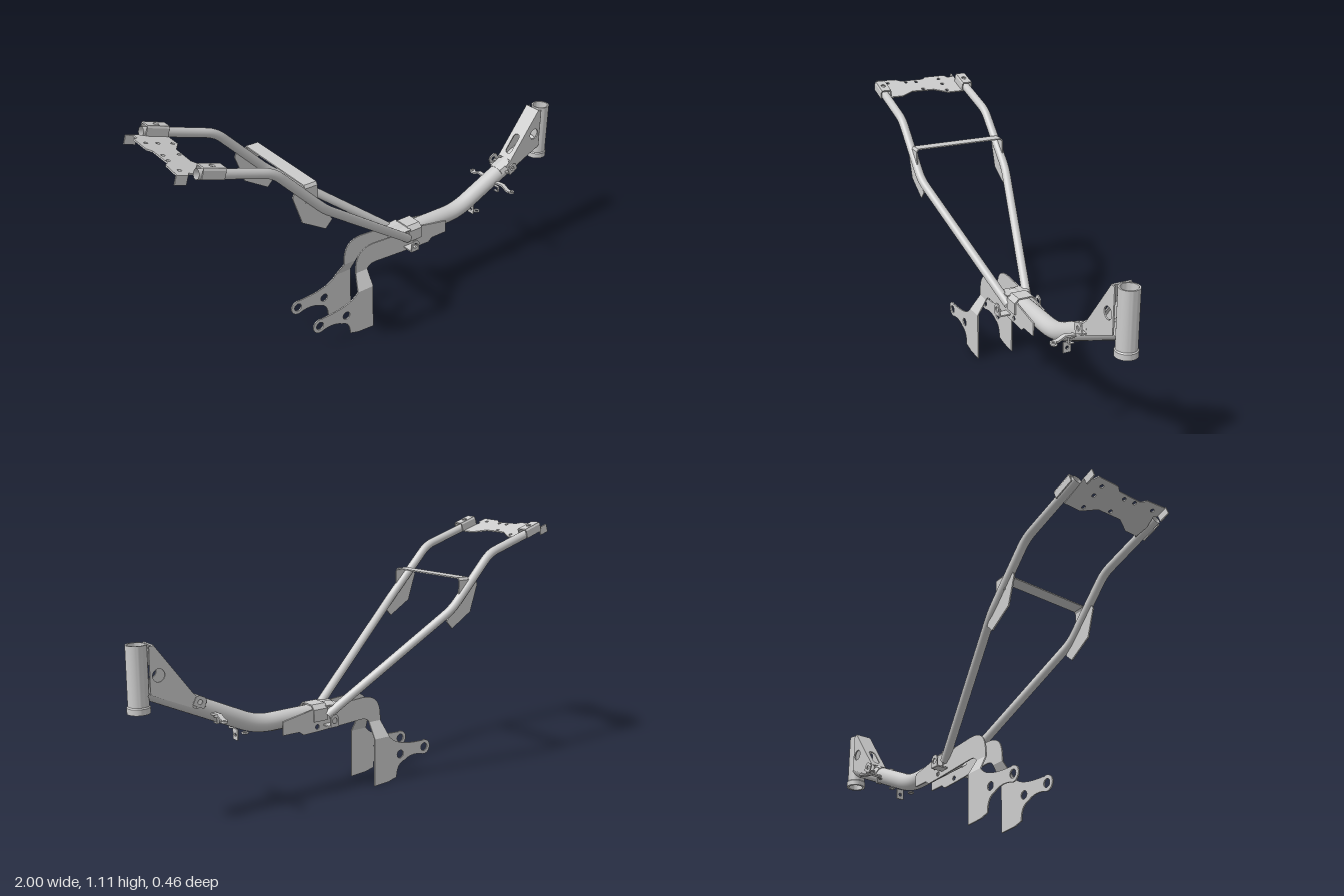
import * as THREE from 'three';
import { toCreasedNormals } from 'three/addons/utils/BufferGeometryUtils.js';

const material = new THREE.MeshStandardMaterial({ color: 0xcccccc, side: THREE.DoubleSide });

export function createModel() {
  const root = new THREE.Group();

  const add = (name, geometry, parent = root) => {
    const mesh = new THREE.Mesh(geometry, material);
    mesh.name = name;
    parent.add(mesh);
    return mesh;
  };
  const outline = pts => new THREE.Shape(pts.map(p => new THREE.Vector2(p[0], p[1])));

  // sheet in the XY plane, centred on z = 0; holes are [x, y, radius]
  const sheet = (shape, holes = [], t = 0.006) => {
    for (const [x, y, r] of holes) shape.holes.push(new THREE.Path().absarc(x, y, r, 0, Math.PI * 2, true));
    return new THREE.ExtrudeGeometry(shape, { depth: t, bevelEnabled: false, curveSegments: 16 }).translate(0, 0, -t / 2);
  };

  // bent strip: profile points are [z, y], swept along x
  const strip = (pts, x, width, t = 0.006) => {
    const v = pts.map(p => new THREE.Vector2(p[0], p[1]));
    const left = [], right = [];
    v.forEach((p, i) => {
      const a = p.clone().sub(v[Math.max(i - 1, 0)]).normalize();
      const b = v[Math.min(i + 1, v.length - 1)].clone().sub(p).normalize();
      const d = a.add(b).normalize();
      const n = new THREE.Vector2(-d.y, d.x).multiplyScalar(t / 2);
      left.push(p.clone().add(n));
      right.unshift(p.clone().sub(n));
    });
    return sheet(new THREE.Shape([...left, ...right]), [], width).rotateY(-Math.PI / 2).translate(x, 0, 0);
  };

  // round tube through points with softened corners
  const pipe = (pts, radius, bend) => {
    const v = pts.map(p => new THREE.Vector3(...p));
    const path = new THREE.CurvePath();
    let from = v[0];
    for (let i = 1; i < v.length - 1; i++) {
      const a = v[i].clone().add(v[i - 1].clone().sub(v[i]).setLength(bend));
      const b = v[i].clone().add(v[i + 1].clone().sub(v[i]).setLength(bend));
      path.add(new THREE.LineCurve3(from, a));
      path.add(new THREE.QuadraticBezierCurve3(a, v[i], b));
      from = b;
    }
    path.add(new THREE.LineCurve3(from, v[v.length - 1]));
    return new THREE.TubeGeometry(path, 90, radius, 24, false);
  };

  // Steering head tube with lower collar
  const head = [[0.033, 0.49], [0.044, 0.49], [0.044, 0.513], [0.04, 0.518], [0.04, 0.748], [0.033, 0.748], [0.033, 0.49]];
  const headGeometry = new THREE.LatheGeometry(head.map(p => new THREE.Vector2(...p)), 40);
  add('headTube', toCreasedNormals(headGeometry, 0.6).translate(0.952, 0, 0));

  // Main spine tube
  add('spineTube', pipe([[0.92, 0.575, 0], [0.45, 0.358, 0], [0.08, 0.362, 0]], 0.038, 0.07));

  // Head gusset: two cheeks and a slotted cover
  for (const s of [1, -1]) {
    const cheek = outline([[0.92, 0.742], [0.92, 0.56], [0.74, 0.48], [0.715, 0.515], [0.75, 0.543], [0.903, 0.742]]);
    add('headGussetCheek', sheet(cheek, [[0.885, 0.63, 0.025]]).translate(0, 0, s * 0.036));
  }
  const cover = outline([[-0.132, -0.039], [0.132, -0.039], [0.132, 0.039], [-0.132, 0.039]]);
  const slot = new THREE.Path();
  slot.absarc(-0.025, 0, 0.017, Math.PI / 2, -Math.PI / 2, true);
  slot.absarc(-0.09, 0, 0.017, -Math.PI / 2, -Math.PI * 1.5, true);
  cover.holes.push(slot);
  add('headGussetCover', sheet(cover).rotateX(Math.PI / 2).rotateZ(0.92).translate(0.825, 0.64, 0));
  add('headGussetFoot', strip([[-0.038, 0], [-0.03, 0.022], [0, 0.03], [0.03, 0.022], [0.038, 0]], 0, 0.06)
    .rotateZ(0.44).translate(0.722, 0.492, 0));

  for (const s of [1, -1]) {
    // Rear rails
    add('rearRail', pipe([[0.13, 0.352, s * 0.045], [-0.41, 0.765, s * 0.206],
      [-0.625, 0.99, s * 0.206], [-0.925, 1.085, s * 0.206]], 0.019, 0.04));

    // Swing mount plate: upper arm, bend and lower plate
    const arm = new THREE.Shape();
    arm.moveTo(-0.092, 0.283);
    arm.lineTo(-0.153, 0.283);
    arm.bezierCurveTo(-0.155, 0.37, -0.125, 0.4, -0.05, 0.398);
    arm.lineTo(0.1, 0.388);
    arm.lineTo(0.2, 0.388);
    arm.lineTo(0.35, 0.36);
    arm.lineTo(0.35, 0.303);
    arm.lineTo(0.27, 0.303);
    arm.lineTo(0.25, 0.287);
    arm.lineTo(0.17, 0.29);
    arm.lineTo(-0.03, 0.302);
    arm.quadraticCurveTo(-0.08, 0.308, -0.092, 0.283);
    add('mountArm', sheet(arm, [[0.18, 0.31, 0.01]]).translate(0, 0, s * 0.042));

    const bend = sheet(outline([[-0.092, 0.283], [-0.153, 0.283], [-0.172, 0.215], [-0.092, 0.215]]));
    const p = bend.attributes.position;
    for (let i = 0; i < p.count; i++) p.setZ(i, p.getZ(i) + s * (p.getY(i) > 0.25 ? 0.042 : 0.083));
    bend.computeVertexNormals();
    add('mountBend', bend);

    const lower = new THREE.Shape();
    lower.moveTo(-0.092, 0.003);
    lower.lineTo(-0.092, 0.215);
    lower.lineTo(-0.172, 0.215);
    lower.quadraticCurveTo(-0.21, 0.163, -0.355, 0.162);
    lower.absarc(-0.372, 0.13, 0.033, 1.1, 5.2, false);
    lower.quadraticCurveTo(-0.3, 0.115, -0.26, 0.09);
    lower.quadraticCurveTo(-0.215, 0.08, -0.215, 0.02);
    lower.lineTo(-0.17, 0.008);
    add('mountPlate', sheet(lower, [[-0.372, 0.13, 0.018], [-0.235, 0.122, 0.018]]).translate(0, 0, s * 0.083));

    // Footrest bracket beside the junction
    add('sideBracketFoot', strip([[s * 0.04, 0.315], [s * 0.096, 0.315]], 0.13, 0.042));
    const ear = outline([[0.109, 0.313], [0.151, 0.313], [0.151, 0.35], [0.14, 0.366], [0.12, 0.366], [0.109, 0.35]]);
    add('sideBracketEar', sheet(ear, [[0.13, 0.34, 0.012]]).translate(0, 0, s * 0.096));

    // Gusset under each rail at the cross strap
    const gusset = outline([[-0.535, 0.9], [-0.553, 0.862], [-0.515, 0.745], [-0.412, 0.682], [-0.38, 0.715], [-0.41, 0.76]]);
    add('railGusset', sheet(gusset, [[-0.508, 0.752, 0.01]]).translate(0, 0, s * 0.206));

    // Clamp sleeve at the rail end
    const clamp = new THREE.Group();
    clamp.name = 'railEndClamp';
    clamp.position.set(-0.868, 1.082, s * 0.206);
    clamp.rotation.z = -0.317;
    root.add(clamp);
    const top = outline([[-0.045, -0.022], [0.045, -0.022], [0.045, 0.022], [-0.045, 0.022]]);
    add('clampTop', sheet(top, [[0, 0, 0.011]]).rotateX(Math.PI / 2).translate(0, 0.014, 0), clamp);
    for (const k of [1, -1]) {
      add('clampSide', strip([[k * 0.019, 0.014], [k * 0.023, 0.007], [k * 0.023, -0.025]], 0, 0.09, 0.005), clamp);
    }

    // Tab with a hole on the upper spine
    add('spineTabFoot', strip([[s * 0.03, 0.49], [s * 0.063, 0.49]], 0.73, 0.04));
    const tab = outline([[-0.025, -0.02], [0.025, -0.02], [0.025, 0.012], [0.014, 0.023], [-0.014, 0.023], [-0.025, 0.012]]);
    add('spineTab', sheet(tab, [[0, 0, 0.01]]).rotateZ(0.44).translate(0.732, 0.51, s * 0.063));

    // Wing strap under the spine, ending in a swept tip
    add('wingStrap', strip([[s * 0.03, 0.447], [s * 0.08, 0.452], [s * 0.108, 0.438], [s * 0.125, 0.437]], 0.662, 0.02, 0.008));
    const tip = new THREE.Shape();
    tip.absarc(0.668, s * 0.13, 0.013, 0, Math.PI * 2, false);
    add('wingTip', sheet(tip, [[0.668, s * 0.13, 0.006]], 0.008).rotateX(Math.PI / 2).translate(0, 0.437, 0));

    // Small cable lugs on the spine
    add('cableLug', new THREE.TorusGeometry(0.011, 0.004, 8, 20).rotateX(Math.PI / 2).translate(0.532, 0.35, s * 0.05));
    add('spineLug', strip([[s * 0.035, 0.435], [s * 0.058, 0.435], [s * 0.058, 0.412], [s * 0.035, 0.412]], 0.655, 0.012, 0.004));
  }

  // Saddle and cover where the rails meet the spine
  add('junctionSaddle', strip([[-0.05, 0.335], [-0.05, 0.385], [-0.032, 0.402], [0.032, 0.402], [0.05, 0.385], [0.05, 0.335]], 0.168, 0.068));
  add('junctionCover', new THREE.BoxGeometry(0.08, 0.006, 0.108).rotateZ(0.06).translate(0.1, 0.392, 0));

  // Hanging lug below the spine
  const lug = outline([[-0.017, 0.312], [0.017, 0.312], [0.017, 0.358], [-0.017, 0.358]]);
  add('lowerLug', sheet(lug, [[0, 0.333, 0.007]]).rotateY(Math.PI / 2).translate(0.545, 0, 0));

  // Cross strap bent down over both rails
  add('crossStrap', strip([[-0.209, 0.825], [-0.209, 0.885], [-0.202, 0.895], [0.202, 0.895], [0.209, 0.885], [0.209, 0.825]], -0.472, 0.055));

  // Rear cross plate, in line with the slope of the rails
  const rear = new THREE.Group();
  rear.name = 'rearCrossPlate';
  rear.position.set(-0.91, 1.068, 0);
  rear.rotation.z = -0.317;
  root.add(rear);
  const plan = outline([[-0.055, -0.195], [0.083, -0.19], [0.083, -0.11], [0.045, -0.05], [0.042, 0.06], [0.075, 0.12],
    [0.075, 0.18], [0.02, 0.188], [-0.03, 0.175], [-0.04, 0.195], [-0.083, 0.195], [-0.076, 0.1], [-0.058, 0.08],
    [-0.058, -0.03], [-0.074, -0.05], [-0.074, -0.15], [-0.055, -0.16]]);
  const bores = [[-0.045, -0.11], [0.002, -0.11], [0.062, -0.11], [0.03, 0], [-0.04, 0.01], [-0.045, 0.06], [-0.05, 0.15]];
  add('plateSheet', sheet(plan, bores.map(b => [...b, 0.008])).rotateX(Math.PI / 2), rear);
  for (const s of [1, -1]) {
    add('plateTab', new THREE.BoxGeometry(0.045, 0.036, 0.006).translate(-0.063, -0.016, s * 0.192), rear);
  }

  return root;
}
